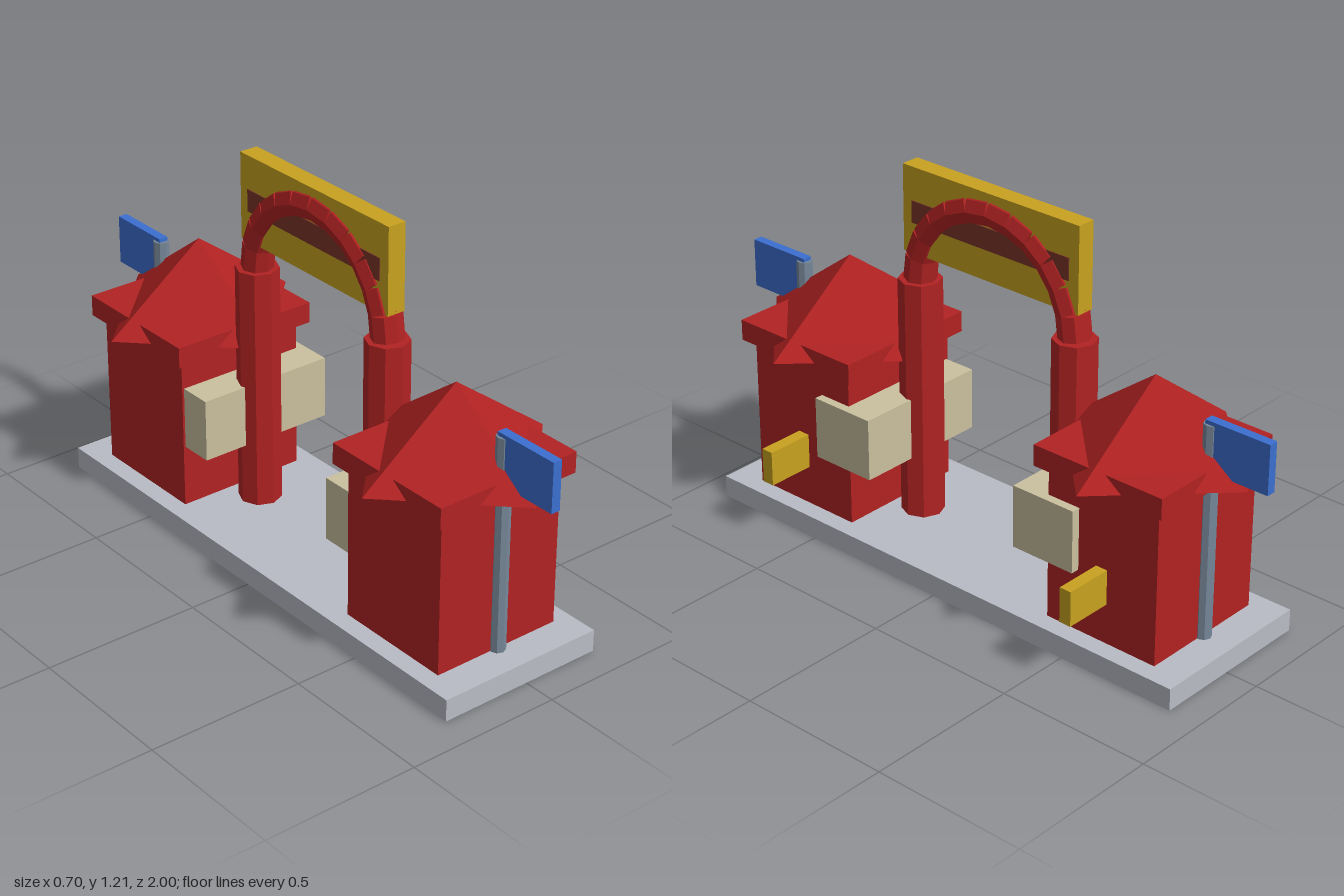
import * as THREE from 'three';

const mat = (name, color) => {
  const m = new THREE.MeshStandardMaterial({ color });
  m.name = name;
  return m;
};

export function createModel() {
  const red = mat('red', 0xb22222);
  const gold = mat('gold', 0xc9a220);
  const stone = mat('stone grey', 0xb9bcc5);
  const steel = mat('steel grey', 0x778899);
  const cream = mat('cream', 0xcbc09f);
  const blue = mat('blue', 0x3b6fd0);
  const brown = mat('brown', 0x7a3528);

  const root = new THREE.Group();
  root.name = 'gateway';
  const CX = -0.02; // the gate's centre line

  const add = (parent, name, geometry, material, x, y, z) => {
    const mesh = new THREE.Mesh(geometry, material);
    mesh.name = name;
    mesh.position.set(x, y, z);
    parent.add(mesh);
    return mesh;
  };
  // box given by its minimum and maximum corners
  const box = (parent, name, material, [x0, y0, z0], [x1, y1, z1]) =>
    add(parent, name, new THREE.BoxGeometry(x1 - x0, y1 - y0, z1 - z0), material,
      (x0 + x1) / 2, (y0 + y1) / 2, (z0 + z1) / 2);
  // faceted prism or cone with hard edges
  const prism = (rTop, rBottom, height, sides) => {
    const g = new THREE.CylinderGeometry(rTop, rBottom, height, sides).toNonIndexed();
    g.computeVertexNormals();
    return g;
  };

  box(root, 'base', stone, [-0.297, 0, -0.895], [0.257, 0.07, 0.895]);

  // one gatehouse with its pillar at each end
  for (const side of [1, -1]) {
    const end = new THREE.Group();
    end.name = side > 0 ? 'frontGatehouse' : 'backGatehouse';
    root.add(end);
    const slab = (name, material, x0, x1, y0, y1, z0, z1) =>
      box(end, name, material,
        [x0, y0, Math.min(side * z0, side * z1)], [x1, y1, Math.max(side * z0, side * z1)]);

    slab('walls', red, -0.237, 0.197, 0.07, 0.57, 0.395, 0.79);
    slab('eaves', red, -0.267, 0.226, 0.563, 0.63, 0.363, 0.82);
    add(end, 'roof', prism(0, 0.332, 0.247, 4), red, CX, 0.7115, side * 0.593);
    slab('counter', cream, -0.23, 0.225, 0.27, 0.47, 0.287, 0.508);
    slab('barrier', gold, 0.15, 0.353, 0.198, 0.31, 0.573, 0.613);
    add(end, 'flagPole', prism(0.025, 0.025, 0.685, 8), steel, CX, 0.4125, side * 0.793);
    slab('flag', blue, -0.035, -0.005, 0.61, 0.767, 0.78, 1);
    add(end, 'pillar', prism(0.0675, 0.0675, 0.78, 8), red, CX, 0.46, side * 0.3);
  }

  // arch of short straight segments
  const arch = new THREE.Group();
  arch.name = 'arch';
  root.add(arch);
  const count = 12, radius = 0.3, step = Math.PI / count;
  const segment = prism(0.05, 0.05, 2 * radius * Math.sin(step / 2), 8);
  for (let i = 0; i < count; i++) {
    const a = (i + 0.5) * step, r = radius * Math.cos(step / 2);
    add(arch, 'archSegment', segment, red, CX, 0.85 + r * Math.sin(a), r * Math.cos(a))
      .rotation.x = -a;
  }

  // sign board with a thin panel on both faces
  box(root, 'signBoard', gold, [-0.05, 0.94, -0.335], [0.01, 1.213, 0.335]);
  for (const x of [-0.053, 0.009])
    box(root, 'signPanel', brown, [x, 1.037, -0.3], [x + 0.004, 1.107, 0.3]);

  return root;
}
